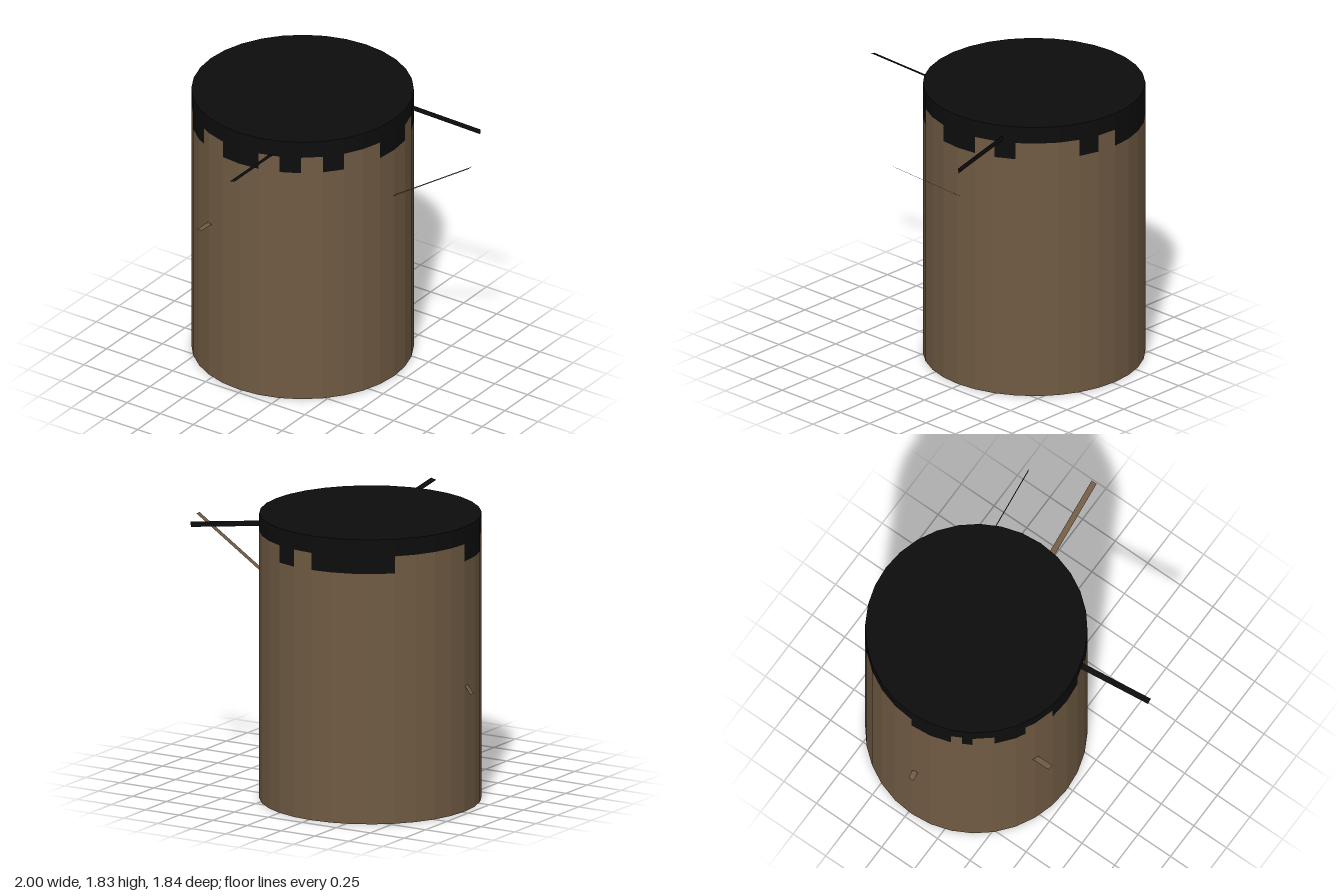
import * as THREE from 'three';

const R = 0.694, H = 1.83, SIDES = 32, CX = -0.267, CZ = -0.228;
const TOOTH_Y = 1.61, BAND_Y = 1.72;

const material = (color) => new THREE.MeshStandardMaterial({
  color, flatShading: true, side: THREE.DoubleSide, roughness: 1,
});

function mesh(name, geometry, mat) {
  const m = new THREE.Mesh(geometry, mat);
  m.name = name;
  return m;
}

// Point on the 32-sided outline; s counts sides from the front towards +x.
function outline(s) {
  const corner = (k) => {
    const a = (k / SIDES) * Math.PI * 2;
    return new THREE.Vector2(Math.sin(a) * R, Math.cos(a) * R);
  };
  const k = Math.floor(s);
  return corner(k).lerp(corner(k + 1), s - k);
}

// Faceted wall following the outline from side s0 to s1
function wall(s0, s1, y0, y1) {
  const stops = [s0];
  for (let k = Math.floor(s0) + 1; k < s1; k++) stops.push(k);
  stops.push(s1);
  const pos = [], index = [];
  stops.forEach((s, i) => {
    const p = outline(s);
    pos.push(p.x, y0, p.y, p.x, y1, p.y);
    if (i) {
      const a = 2 * i - 2;
      index.push(a, a + 2, a + 3, a, a + 3, a + 1);
    }
  });
  const g = new THREE.BufferGeometry();
  g.setAttribute('position', new THREE.Float32BufferAttribute(pos, 3));
  g.setIndex(index);
  g.computeVertexNormals();
  return g;
}

// Thin flat strip between two points, spread by the vector "across"
function strip(from, to, across) {
  const a = new THREE.Vector3(...from), b = new THREE.Vector3(...to);
  const h = new THREE.Vector3(...across).multiplyScalar(0.5);
  const corners = [a.clone().sub(h), b.clone().sub(h), b.clone().add(h), a.clone().add(h)];
  const g = new THREE.BufferGeometry().setFromPoints(corners);
  g.setIndex([0, 1, 2, 0, 2, 3]);
  g.computeVertexNormals();
  return g;
}

export function createModel() {
  const root = new THREE.Group();
  root.name = 'barrel';
  const brown = material(0x705b43), black = material(0x0d0d0d);

  // Drum: wall, base, dark rim and lid
  const drum = new THREE.Group();
  drum.name = 'drum';
  drum.position.set(CX, 0, CZ);
  root.add(drum);

  drum.add(mesh('drumWall', wall(0, SIDES, 0, TOOTH_Y), brown));
  drum.add(mesh('rim', wall(0, SIDES, BAND_Y, H), black));
  const base = mesh('base', new THREE.CircleGeometry(R, SIDES), brown);
  base.rotation.x = Math.PI / 2;
  const lid = mesh('lid', new THREE.CircleGeometry(R, SIDES), black);
  lid.rotation.x = -Math.PI / 2;
  lid.position.y = H;
  drum.add(base, lid);

  // Ragged edge below the rim: alternating gaps and teeth, by side number
  const edges = [1, 2, 3, 4, 5, 7, 9, 10, 11, 14, 15, 16, 20, 24,
    26, 26.5, 27, 28, 29.5, 31, 33];
  // a gap lies between sides 15-16 and 20-24, teeth fill 16-20
  edges.slice(1).forEach((end, i) => {
    const gap = i % 2 === 0;
    drum.add(mesh(gap ? 'wallGap' : 'rimTooth',
      wall(edges[i], end, TOOTH_Y, BAND_Y), gap ? brown : black));
  });

  // Flat sticks poking out of the drum
  const sticks = [
    ['longBrownStick', [0.41, 1.275, -0.232], [1.0, 1.66, -0.232], [0, 0, 0.038], brown],
    ['sideBlackStick', [0.33, 1.748, -0.536], [0.82, 1.69, -0.605], [0.004, 0.034, 0], black],
    ['frontBlackStick', [-0.057, 1.721, 0.4], [-0.013, 1.768, 0.918], [0.036, 0.01, -0.003], black],
    ['frontPeg', [-0.528, 1.079, 0.38], [-0.528, 1.086, 0.528], [0.038, 0, 0], brown],
    ['sidePeg', [-0.945, 0.825, -0.203], [-1.0, 0.755, -0.203], [0, 0, 0.038], brown],
  ];
  for (const [name, from, to, across, mat] of sticks) {
    root.add(mesh(name, strip(from, to, across), mat));
  }
  return root;
}
